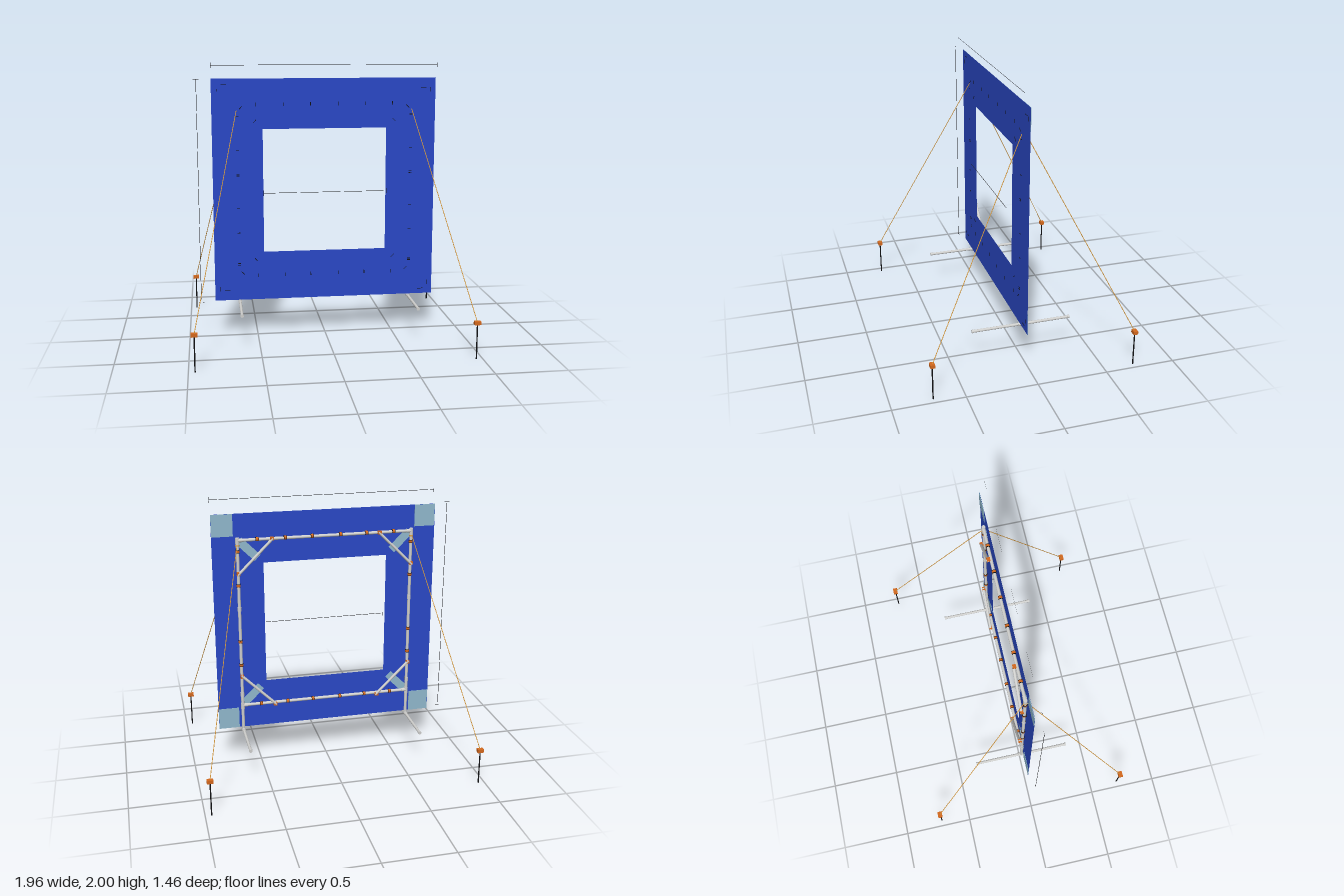
import * as THREE from 'three';

const mat = (name, color, side = THREE.FrontSide) => {
  const m = new THREE.MeshStandardMaterial({ color, side });
  m.name = name;
  return m;
};

export function createModel() {
  const model = new THREE.Group();
  model.name = 'framedBanner';
  const blue = mat('blue banner', 0x2a48c6, THREE.DoubleSide);
  const steel = mat('steel tube', 0xcfcfcd);
  const orange = mat('orange plastic', 0xd4691e);
  const black = mat('black', 0x101012);
  const patch = mat('grey blue patch', 0x90b8cc);
  const rope = mat('tan rope', 0xd69a40);
  const lineDark = mat('dark line', 0x202022, THREE.DoubleSide);

  const V = (x, y, z) => new THREE.Vector3(x, y, z);
  const add = (name, geometry, m, x, y, z) => {
    const mesh = new THREE.Mesh(geometry, m);
    mesh.name = name;
    mesh.position.set(x, y, z);
    model.add(mesh);
    return mesh;
  };
  const box = (name, m, w, h, d, x, y, z, rz = 0) => {
    add(name, new THREE.BoxGeometry(w, h, d), m, x, y, z).rotation.z = rz;
  };
  // Round bar between two points
  const rod = (name, m, a, b, r, open = false) => {
    const c = a.clone().lerp(b, 0.5);
    add(name, new THREE.CylinderGeometry(r, r, a.distanceTo(b), 32, 1, open), m, c.x, c.y, c.z)
      .quaternion.setFromUnitVectors(V(0, 1, 0), b.clone().sub(a).normalize());
  };

  // Banner sheet with a square window
  const sheet = new THREE.Shape();
  sheet.moveTo(-0.808, 0.273).lineTo(0.806, 0.273).lineTo(0.806, 1.885).lineTo(-0.808, 1.885).closePath();
  const hole = new THREE.Path();
  hole.moveTo(-0.448, 0.63).lineTo(-0.448, 1.527).lineTo(0.446, 1.527).lineTo(0.446, 0.63).closePath();
  sheet.holes.push(hole);
  add('banner', new THREE.ShapeGeometry(sheet), blue, 0, 0, 0.015);

  // Tube frame: rails, posts and feet
  const PX = 0.628, TOP = 1.7, BOT = 0.455, R = 0.011;
  for (const y of [TOP, BOT]) rod('rail', steel, V(-PX, y, 0), V(PX, y, 0), R);
  for (const s of [-1, 1]) {
    rod('post', steel, V(s * PX, 0.25, 0), V(s * PX, TOP + 0.015, 0), R);
    rod('foot', steel, V(s * PX, 0.258, -0.357), V(s * PX, 0.258, 0.357), 0.01);
    rod('footSocket', steel, V(s * PX, 0.258, -0.025), V(s * PX, 0.258, 0.025), 0.0135);
    for (const z of [-0.352, 0.352])
      rod('footCap', steel, V(s * PX, 0.258, z - 0.007), V(s * PX, 0.258, z + 0.007), 0.012);
    for (const y of [TOP, BOT]) {
      rod('cornerSocket', steel, V(s * PX, y - 0.03, 0), V(s * PX, y + 0.018, 0), 0.0135);
      rod('cornerSleeve', steel, V(s * PX, y, 0), V(s * (PX - 0.035), y, 0), 0.0135);
    }
    // Sleeves joining the post sections
    for (const y of [1.2, 0.541]) {
      rod('postCoupler', steel, V(s * PX, y - 0.015, 0), V(s * PX, y + 0.015, 0), 0.0135);
      for (const d of [-0.006, 0.006]) box('couplerTie', black, 0.022, 0.005, 0.003, s * PX, y + d, 0.016);
    }
  }

  // Corner braces, patches and reinforcing strips
  for (const s of [-1, 1]) {
    for (const t of [-1, 1]) {
      const y0 = t > 0 ? TOP : BOT;
      const edgeY = t > 0 ? 1.884 : 0.274;
      const turn = s * t * Math.PI / 4;
      rod('brace', steel, V(s * (PX + 0.006), y0 - t * 0.245, -0.022), V(s * 0.38, y0 + t * 0.008, -0.022), 0.01);
      box('braceClamp', orange, 0.024, 0.024, 0.024, s * PX, y0 - t * 0.235, -0.018);
      box('braceClamp', orange, 0.026, 0.022, 0.024, s * 0.388, y0 + t * 0.004, -0.018);
      box('cornerPatch', patch, 0.15, 0.157, 0.003, s * 0.73, edgeY - t * 0.0785, 0.0125);
      box('strip', patch, 0.185, 0.06, 0.003, s * 0.553, y0 - t * 0.07, 0.0125, turn);
      // Stitches showing on the front
      box('stripStitch', black, 0.032, 0.003, 0.003, s * 0.505, y0 - t * 0.117, 0.016, -turn);
      box('stripStitch', black, 0.03, 0.003, 0.003, s * 0.603, y0 - t * 0.02, 0.016, -turn);
      box('patchStitch', black, 0.003, 0.032, 0.003, s * 0.768, edgeY - t * 0.085, 0.016);
      box('patchStitch', black, 0.04, 0.003, 0.003, s * 0.72, edgeY - t * (s * t > 0 ? 0.07 : 0.037), 0.016);
    }
  }

  // Orange clips with black ties holding the banner to the tubes
  const clip = (x, y, upright) => {
    const along = (d) => (upright ? V(x, y + d, 0) : V(x + d, y, 0));
    rod('clipBand', orange, along(-0.008), along(0.008), 0.0142);
    for (const d of [-1, 1]) rod('clipEdge', black, along(d * 0.008), along(d * 0.011), 0.0142);
    box('clipTie', black, upright ? 0.022 : 0.004, upright ? 0.004 : 0.026, 0.003, x, y, 0.016);
  };
  for (const y of [TOP, BOT])
    for (const x of [-0.495, -0.295, -0.105, 0.1, 0.292, 0.49]) clip(x, y + (y > 1 ? 0.003 : 0), false);
  for (const x of [-PX, PX])
    for (const y of [1.622, 1.375, 0.955, 0.775]) clip(x, y, true);

  // Guy ropes with ground stakes
  for (const sx of [-1, 1]) {
    rod('ropeLoop', rope, V(sx * PX, 1.66, 0), V(sx * PX, 1.668, 0), 0.0145);
    for (const sz of [-1, 1]) {
      const x = sx * 0.956, z = sz * 0.715;
      rod('guyRope', rope, V(sx * 0.632, 1.665, sz * 0.01), V(x, 0.262, z), 0.0026, true);
      box('stakeHead', orange, 0.044, 0.024, 0.032, x, 0.258, z);
      rod('stakePin', black, V(x, 0, z), V(x, 0.25, z), 0.0045);
    }
  }

  // Measuring lines with end ticks
  const L = 0.003, Z = 0.054;
  const flat = (name, w, h, x, y, z) => add(name, new THREE.PlaneGeometry(w, h), lineDark, x, y, z);
  flat('widthLine', 1.614, L, -0.001, 1.98, Z);
  for (const x of [-0.808, 0.806]) flat('widthTick', L, 0.04, x, 1.98, Z);
  rod('windowLine', lineDark, V(-0.448, 1.07, Z), V(0.446, 1.07, Z), L / 2);
  for (const x of [-0.448, 0.446]) flat('windowTick', L, 0.04, x, 1.07, Z);
  rod('heightLine', lineDark, V(-0.91, 0.273, 0.048), V(-0.91, 1.885, 0.048), L / 2);
  for (const y of [0.273, 1.885]) flat('heightTick', 0.04, L, -0.91, y, 0.048);

  return model;
}
